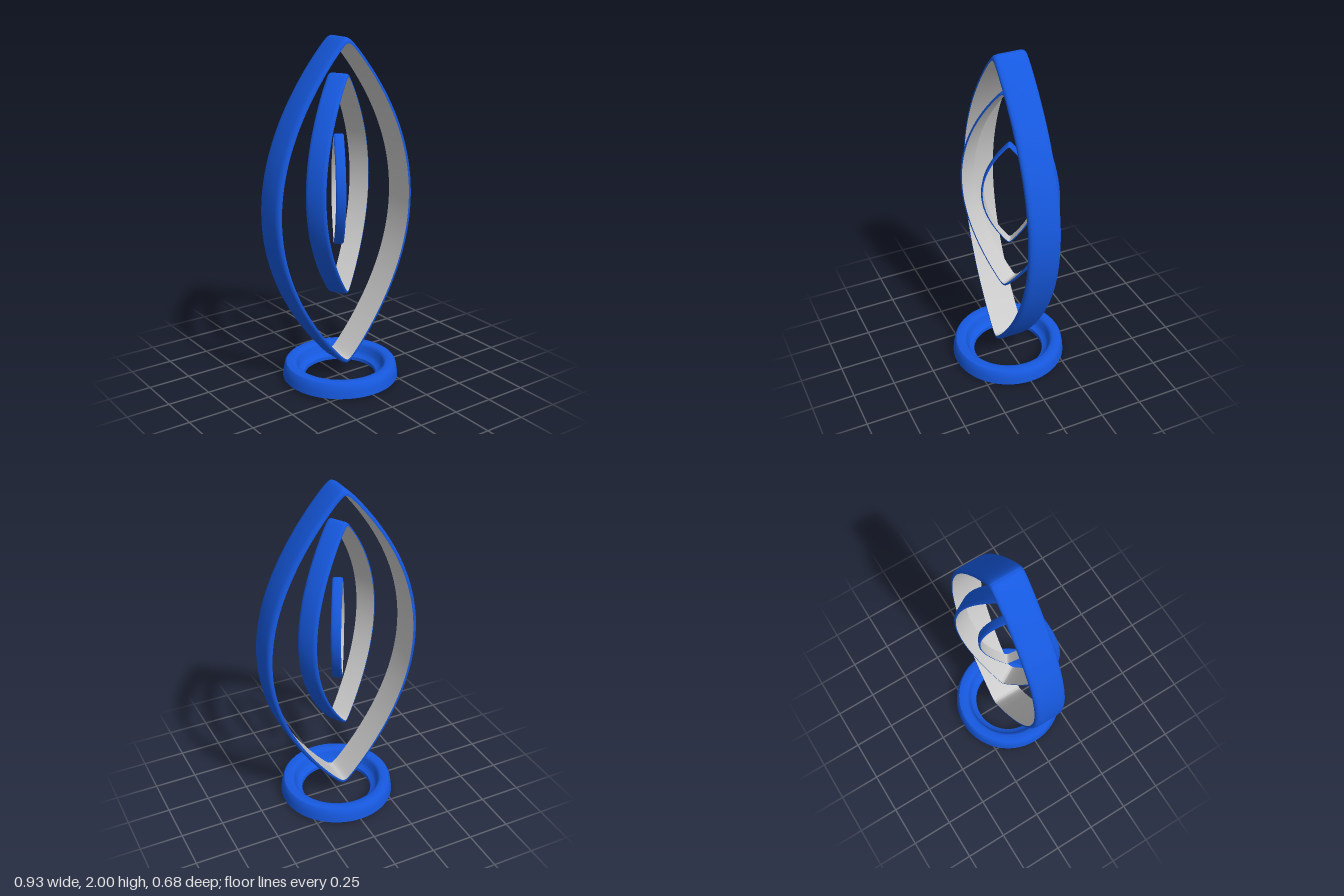
import * as THREE from 'three';
import { toCreasedNormals } from 'three/addons/utils/BufferGeometryUtils.js';

const BLUE = new THREE.MeshStandardMaterial({ color: 0x1659e0 });
const GREY = new THREE.MeshStandardMaterial({ color: 0xcccccc });
const CREASE = 0.7;

// Pointed oval with softly rounded tips: half width a, half height b
function ovalPoint(a, b, t) {
  const e = 0.05;
  const p = 1 - (1 - e) * Math.sin(t) ** 2;
  const x = Math.sqrt(Math.max(0, p * p - e * e) / (1 - e * e));
  return [Math.sign(Math.cos(t)) * a * x, b * Math.sin(t)];
}

// Sweep a [inset, z] profile around the pointed oval
function bandGeometry(a, b, profile) {
  const segments = 160, rows = profile.length;
  const positions = [], index = [];
  for (let i = 0; i < segments; i++) {
    const t = (i / segments) * Math.PI * 2;
    for (const [inset, z] of profile) {
      const [x, y] = ovalPoint(a - inset, b - inset * 1.1, t);
      positions.push(x, y, z);
    }
    const next = (i + 1) % segments;
    for (let j = 0; j < rows - 1; j++) {
      const p = i * rows + j, q = next * rows + j;
      index.push(p, p + 1, q, p + 1, q + 1, q);
    }
  }
  const geometry = new THREE.BufferGeometry();
  geometry.setAttribute('position', new THREE.Float32BufferAttribute(positions, 3));
  geometry.setIndex(index);
  return toCreasedNormals(geometry, CREASE);
}

// Flat band with a blue outside and rims, and a grey inner face
function makeBand({ name, a, bottom, top, width, scale, turn }) {
  const h = width / 2, b = (top - bottom) / 2;
  const edge = [[0.028, 0], [0.018, 0], [0.011, 0.003], [0.004, 0.012], [0, 0.03]]
    .map(([inset, d]) => [inset * scale, h - d * scale]);
  const back = edge.map(([inset, z]) => [inset, -z]).reverse();
  const inset = edge[0][0];

  const band = new THREE.Group();
  band.name = name;
  const shell = new THREE.Mesh(bandGeometry(a, b, [...edge, ...back]), BLUE);
  shell.name = name + 'Shell';
  const lining = new THREE.Mesh(bandGeometry(a, b, [[inset, -h], [inset, h]]), GREY);
  lining.name = name + 'Lining';
  band.add(shell, lining);
  band.position.set(-0.004, (top + bottom) / 2, -0.01);
  band.rotation.y = THREE.MathUtils.degToRad(turn);
  return band;
}

// Hollow ring foot with an inner lip
function makeBase() {
  const profile = [
    [0.34, 0.012], [0.336, 0.05], [0.329, 0.085], [0.32, 0.097], [0.305, 0.1],
    [0.275, 0.1], [0.263, 0.095], [0.255, 0.08], [0.248, 0.05], [0.236, 0.03],
    [0.212, 0.02], [0.21, 0], [0.235, 0], [0.25, 0.012], [0.262, 0.04],
    [0.27, 0.08], [0.31, 0.085], [0.322, 0.06], [0.328, 0.012], [0.34, 0.012],
  ].map(([r, y]) => new THREE.Vector2(r, y));
  const base = new THREE.Mesh(toCreasedNormals(new THREE.LatheGeometry(profile, 96), CREASE), BLUE);
  base.name = 'baseRing';
  return base;
}

export function createModel() {
  const model = new THREE.Group();
  model.name = 'nestedOvalSculpture';
  model.add(makeBase());

  // Three nested bands, each turned a further 30 degrees
  const bands = [
    { name: 'outerBand', a: 0.465, bottom: 0.1, top: 2.0, width: 0.187, scale: 1, turn: 0 },
    { name: 'middleBand', a: 0.305, bottom: 0.52, top: 1.8, width: 0.12, scale: 0.65, turn: 30 },
    { name: 'innerBand', a: 0.158, bottom: 0.82, top: 1.465, width: 0.057, scale: 0.4, turn: 60 },
  ];
  for (const spec of bands) model.add(makeBand(spec));
  return model;
}
